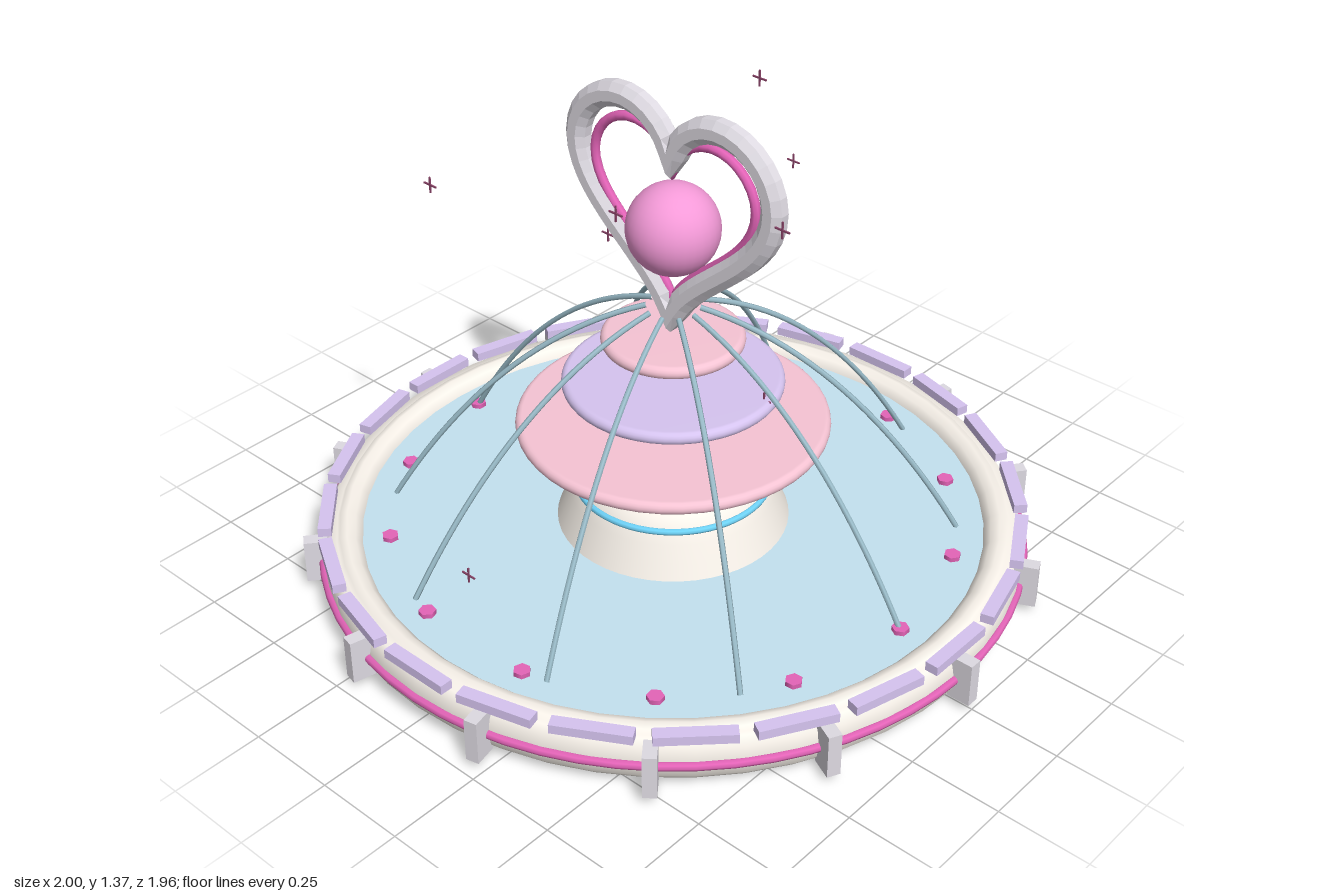
import * as THREE from 'three';

const mat = (color, opts = {}) => new THREE.MeshStandardMaterial({ color, ...opts });
const cream = mat(0xf8f2ea), silver = mat(0xdedae2), flatSilver = mat(0xdedae2, { flatShading: true });
const pink = mat(0xf49ad8), hotPink = mat(0xe464b8), rose = mat(0xf6c4d4), lavender = mat(0xd6c4f0);
const water = mat(0xc4e2f0), jetBlue = mat(0x9cbecb), aqua = mat(0x70d4fa), wine = mat(0x8a4468);

function add(parent, name, geometry, material, x = 0, y = 0, z = 0) {
  const mesh = new THREE.Mesh(geometry, material);
  mesh.name = name;
  mesh.position.set(x, y, z);
  parent.add(mesh);
  return mesh;
}

const lathe = (points, segments = 48) =>
  new THREE.LatheGeometry(points.map(([r, y]) => new THREE.Vector2(r, y)), segments);

const ring = (radius, tube) => new THREE.TorusGeometry(radius, tube, 8, 64).rotateX(Math.PI / 2);

// Repeats a part around the y axis; local +x points outwards
function around(parent, name, count, radius, y, geometry, material) {
  const group = new THREE.Group();
  group.name = name + 's';
  for (let i = 0; i < count; i++) {
    const a = (i / count) * Math.PI * 2;
    const mesh = add(group, name, geometry, material, Math.cos(a) * radius, y, Math.sin(a) * radius);
    mesh.rotation.y = -a;
  }
  parent.add(group);
}

// Closed heart outline in the xy plane, starting at the notch
class HeartCurve extends THREE.Curve {
  constructor(scale) {
    super();
    this.scale = scale;
  }
  getPoint(u, target = new THREE.Vector3()) {
    const t = u * Math.PI * 2;
    const y = 13 * Math.cos(t) - 5 * Math.cos(2 * t) - 2 * Math.cos(3 * t) - Math.cos(4 * t);
    return target.set(16 * Math.sin(t) ** 3, y, 0).multiplyScalar(this.scale);
  }
}

// Heart band: an octagon swept along the outline, mitred on x = 0 at notch and tip
function heartBand(scale, halfWidth, halfDepth) {
  const steps = 56, sides = 8, pos = [], idx = [];
  const path = new HeartCurve(scale).getSpacedPoints(steps);
  for (let i = 0; i < steps; i++) {
    const p = path[i], next = (i + 1) % steps;
    const d = path[next].clone().sub(path[(i + steps - 1) % steps]).normalize();
    const onAxis = i % (steps / 2) === 0;
    const side = onAxis ? 0 : i < steps / 2 ? 1 : -1;
    for (let j = 0; j < sides; j++) {
      const a = ((j + 0.5) / sides) * Math.PI * 2;
      const w = Math.cos(a) * halfWidth;
      const x = side * Math.max(0, side * (p.x - d.y * w));
      pos.push(x, p.y + d.x * w, Math.sin(a) * halfDepth);
      const k = (j + 1) % sides, n = next * sides, m = i * sides;
      idx.push(m + j, m + k, n + j, n + j, m + k, n + k);
    }
  }
  const geometry = new THREE.BufferGeometry();
  geometry.setAttribute('position', new THREE.Float32BufferAttribute(pos, 3));
  geometry.setIndex(idx);
  geometry.computeVertexNormals();
  return geometry;
}

export function createModel() {
  const model = new THREE.Group();
  model.name = 'fountain';

  // Basin with rounded wall, and the water inside it
  add(model, 'basinFloor', new THREE.CircleGeometry(0.89, 48).rotateX(Math.PI / 2), cream, 0, 0.002, 0);
  add(model, 'basinWall', lathe([
    [0.88, 0], [0.92, 0.012], [0.945, 0.04], [0.953, 0.08], [0.945, 0.12], [0.93, 0.144],
    [0.912, 0.14], [0.904, 0.151], [0.885, 0.157], [0.862, 0.148], [0.845, 0.13], [0.84, 0.1],
  ]), cream);
  add(model, 'water', new THREE.CircleGeometry(0.85, 48).rotateX(-Math.PI / 2), water, 0, 0.125, 0);
  add(model, 'basinBand', ring(0.953, 0.012), hotPink, 0, 0.08, 0);

  // Rim tiles, outer posts and floating lamps
  around(model, 'rimTile', 24, 0.937, 0.162, new THREE.BoxGeometry(0.036, 0.026, 0.205), lavender);
  around(model, 'post', 14, 0.968, 0.085, new THREE.BoxGeometry(0.064, 0.125, 0.036), silver);
  around(model, 'lamp', 14, 0.77, 0.13, new THREE.CylinderGeometry(0.023, 0.023, 0.016, 6), hotPink);

  // Pedestal
  add(model, 'pedestal', lathe([
    [0.318, 0.12], [0.3, 0.165], [0.28, 0.215], [0.265, 0.25], [0.245, 0.282],
    [0.21, 0.305], [0.17, 0.312], [0, 0.312],
  ]), cream);
  add(model, 'pedestalBand', ring(0.265, 0.009), aqua, 0, 0.248, 0);

  // Floating tiers with rounded edges
  for (const [r, y, material] of [[0.42, 0.43, rose], [0.295, 0.555, lavender], [0.19, 0.683, rose]]) {
    const profile = [[0, -0.018]];
    for (let i = 0; i <= 8; i++) {
      const a = -Math.PI / 2 + (i / 8) * Math.PI;
      profile.push([r - 0.018 + 0.018 * Math.cos(a), 0.018 * Math.sin(a)]);
    }
    profile.push([0, 0.018]);
    add(model, 'tier', lathe(profile), material, 0, y, 0);
  }

  // Arching water jets
  const arc = new THREE.QuadraticBezierCurve3(
    new THREE.Vector3(0.07, 0.775, 0), new THREE.Vector3(0.465, 0.65, 0), new THREE.Vector3(0.77, 0.125, 0));
  around(model, 'waterJet', 10, 0, 0, new THREE.TubeGeometry(arc, 24, 0.0075, 6), jetBlue);

  // Heart frame, inner heart and pearl
  add(model, 'heartFrame', heartBand(0.0203, 0.036, 0.032), flatSilver, 0, 1.08, 0);
  add(model, 'innerHeart', heartBand(0.0167, 0.013, 0.013), hotPink, 0, 1.07, 0);
  add(model, 'pearl', new THREE.SphereGeometry(0.123, 32, 20), pink, 0, 1.003, 0);

  // Sparkles: thin crosses floating around
  const across = new THREE.BoxGeometry(0.044, 0.004, 0.004);
  const upright = new THREE.BoxGeometry(0.004, 0.044, 0.004);
  for (const [x, y, z] of [
    [-0.43, 1.14, 0.42], [0.065, 1.35, -0.25], [0.5, 1.26, 0.19], [-0.28, 0.86, -0.055],
    [-0.18, 0.86, -0.71], [-0.05, 0.29, 0.71], [0.02, 1.145, 0.23], [0.26, 0.57, -0.06],
  ]) {
    const sparkle = new THREE.Group();
    sparkle.name = 'sparkle';
    sparkle.position.set(x, y, z);
    add(sparkle, 'sparkleAcross', across, wine);
    add(sparkle, 'sparkleUpright', upright, wine);
    model.add(sparkle);
  }

  return model;
}
